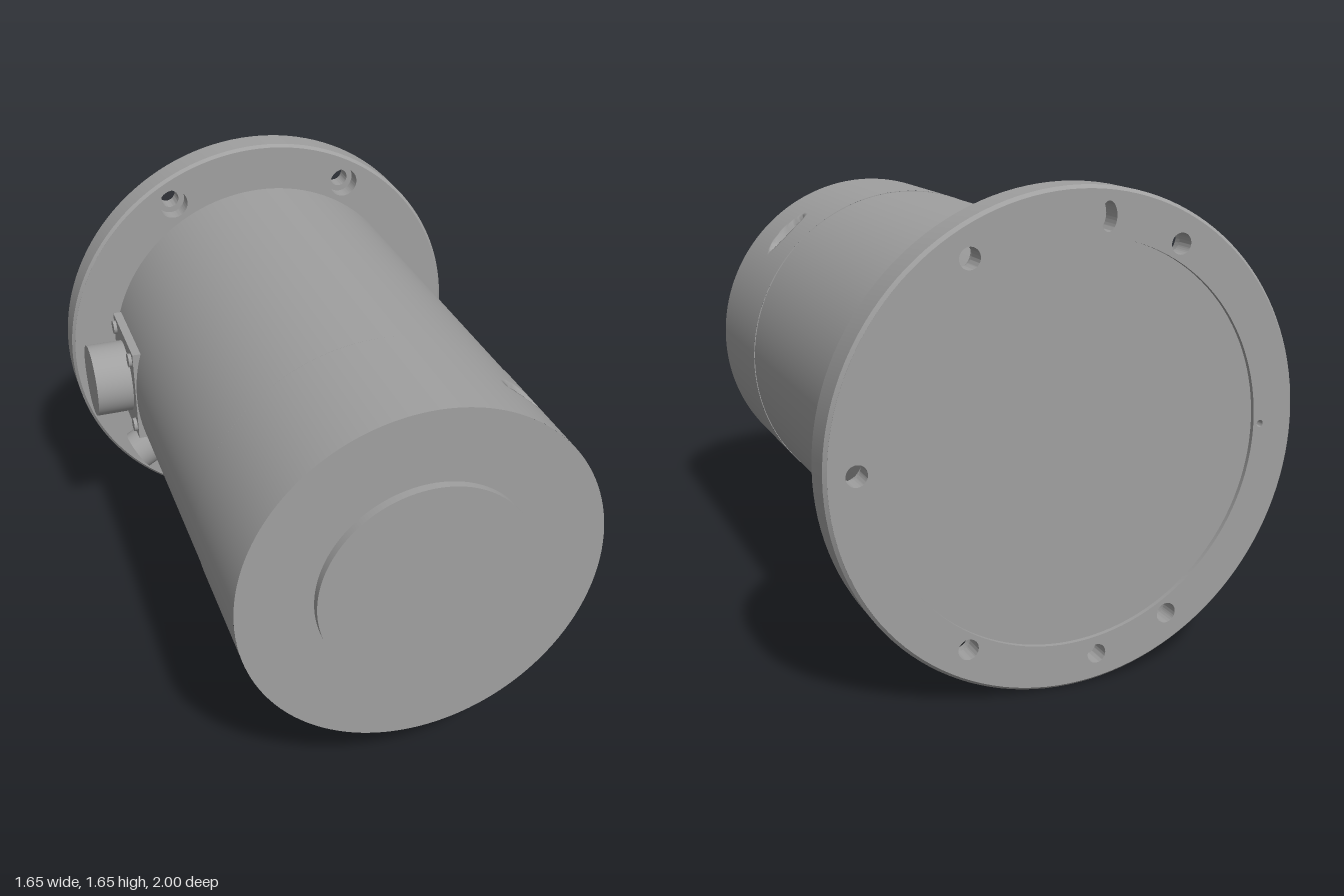
import * as THREE from 'three';
import { toCreasedNormals } from 'three/addons/utils/BufferGeometryUtils.js';

const CENTER_Y = 0.828;

export function createModel() {
  const model = new THREE.Group();
  const grey = new THREE.MeshStandardMaterial({ color: 0xa0a0a0 });
  grey.name = 'machinedGrey';

  const add = (name, geometry, parent = model) => {
    const mesh = new THREE.Mesh(geometry, grey);
    mesh.name = name;
    parent.add(mesh);
    return mesh;
  };
  // Cylinder lying along z between two depths
  const zCylinder = (r, z0, z1, rows = 1, sides = 128, open = false) =>
    new THREE.CylinderGeometry(r, r, z1 - z0, sides, rows, open)
      .rotateX(Math.PI / 2).translate(0, 0, (z0 + z1) / 2);
  const circleHole = (x, y, r) => new THREE.Path().absarc(x, y, r, 0, Math.PI * 2, true);

  // Main barrel
  add('barrel', zCylinder(0.641, -0.88, 0.488));
  add('seamGroove', zCylinder(0.636, 0.48, 0.5));

  // End cap with an oval dimple pressed into its upper left side
  const cap = zCylinder(0.643, 0.492, 0.97, 48, 256, true);
  const p = cap.attributes.position;
  for (let i = 0; i < p.count; i++) {
    const angle = Math.atan2(p.getY(i), p.getX(i));
    const u = (angle - 0.83) * 0.643 / 0.095;
    const v = (p.getZ(i) - 0.72) / 0.042;
    const d = u * u + v * v;
    if (d < 1) {
      const k = 1 - 0.09 * Math.sqrt(1 - d);
      p.setXY(i, p.getX(i) * k, p.getY(i) * k);
    }
  }
  cap.computeVertexNormals();
  add('endCap', cap);
  add('endCapFace', new THREE.CircleGeometry(0.643, 128).translate(0, 0, 0.97));
  add('endCapBackFace', new THREE.CircleGeometry(0.643, 128).rotateY(Math.PI).translate(0, 0, 0.492));
  add('frontDisc', zCylinder(0.38, 0.96, 1));

  // Mounting flange in layers: recessed back, bolt holes, counterbores
  const flange = new THREE.Group();
  flange.name = 'flange';
  model.add(flange);
  const bolts = [-120, -60, 0, 60, 120].map(a => {
    const t = THREE.MathUtils.degToRad(a);
    return [0.722 * Math.cos(t), 0.722 * Math.sin(t)];
  });
  const blindHoles = () => {
    const slot = new THREE.Path().absellipse(-0.1, 0.725, 0.028, 0.048, 0, Math.PI * 2, true);
    return [slot, circleHole(-0.1, -0.725, 0.033), circleHole(-0.695, 0, 0.012)];
  };
  const layer = (name, z0, z1, holeRadius, extraHoles) => {
    const shape = new THREE.Shape().absarc(0, 0, 0.814, 0, Math.PI * 2, false);
    shape.holes.push(...bolts.map(([x, y]) => circleHole(x, y, holeRadius)), ...extraHoles);
    const g = new THREE.ExtrudeGeometry(shape, { depth: z1 - z0, bevelEnabled: false, curveSegments: 64 });
    add(name, toCreasedNormals(g.translate(0, 0, z0), 0.6), flange);
  };
  layer('flangeBackRing', -1, -0.985, 0.035, [circleHole(0, 0, 0.67), ...blindHoles()]);
  layer('flangePlate', -0.985, -0.93, 0.035, blindHoles());
  layer('flangeFrontPlate', -0.93, -0.87, 0.058, []);

  // Chamfered outer rim
  const rimProfile = [[0.813, 0.87], [0.825, 0.882], [0.825, 0.988], [0.813, 1]]
    .map(([r, y]) => new THREE.Vector2(r, -y)).reverse();
  const rim = new THREE.LatheGeometry(rimProfile, 128).rotateX(Math.PI / 2);
  add('flangeRim', toCreasedNormals(rim, 0.5), flange);

  // Side connector: square plate, round socket and four corner screws
  const connector = new THREE.Group();
  connector.name = 'sideConnector';
  connector.position.z = -0.665;
  model.add(connector);
  const xCylinder = (r, x0, x1, sides) => new THREE.CylinderGeometry(r, r, x1 - x0, sides)
    .rotateZ(Math.PI / 2).translate((x0 + x1) / 2, 0, 0);
  add('connectorPlate', new THREE.BoxGeometry(0.065, 0.38, 0.38).translate(-0.6125, 0, 0), connector);
  add('connectorSocket', xCylinder(0.144, -0.787, -0.6, 64), connector);
  for (const y of [-0.148, 0.148]) {
    for (const z of [-0.148, 0.148]) {
      add('connectorScrew', xCylinder(0.027, -0.658, -0.62, 24), connector).position.set(0, y, z);
    }
  }

  // Small radial plug below the connector
  const plug = add('sidePlug', xCylinder(0.082, -0.722, -0.58, 48));
  plug.rotation.z = 0.532;
  plug.position.z = -0.665;

  model.position.y = CENTER_Y;
  const root = new THREE.Group();
  root.name = 'flangedHousing';
  root.add(model);
  return root;
}
